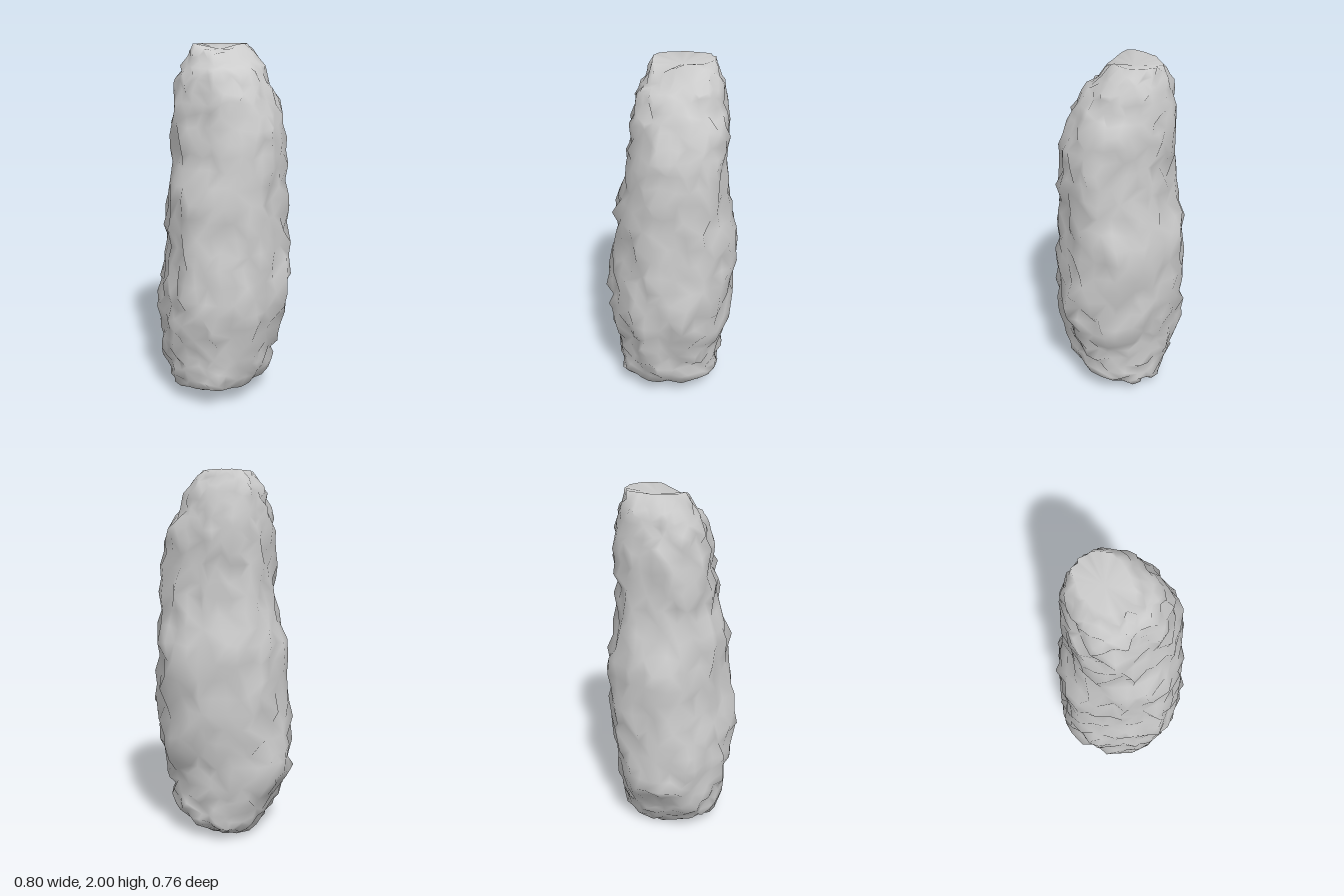
import * as THREE from 'three';

const { clamp, lerp, smoothstep } = THREE.MathUtils;

// Height, then the extents of the rock at that height: right x, left x, back z, front z
const PROFILE = [
  [0.01, -0.2, 0.07, -0.16, 0.13], [0.06, -0.24, 0.14, -0.26, 0.28],
  [0.12, -0.27, 0.24, -0.28, 0.31], [0.22, -0.33, 0.28, -0.29, 0.32],
  [0.35, -0.4, 0.3, -0.31, 0.35], [0.5, -0.4, 0.33, -0.34, 0.38],
  [0.7, -0.38, 0.35, -0.35, 0.38], [0.85, -0.37, 0.34, -0.36, 0.35],
  [1.0, -0.37, 0.34, -0.37, 0.34], [1.1, -0.36, 0.34, -0.36, 0.33],
  [1.2, -0.34, 0.33, -0.33, 0.33], [1.3, -0.3, 0.33, -0.31, 0.3],
  [1.4, -0.29, 0.33, -0.3, 0.26], [1.55, -0.29, 0.32, -0.3, 0.24],
  [1.7, -0.29, 0.28, -0.3, 0.22], [1.8, -0.27, 0.22, -0.28, 0.2],
  [1.9, -0.25, 0.17, -0.26, 0.16], [1.96, -0.21, 0.12, -0.23, 0.13],
  [2.0, -0.18, 0.06, -0.22, 0.11],
];

// Outline radius every 22.5 degrees, from +x towards +z, for the middle and for both ends
const MIDDLE = [1, 1.07, 0.99, 1, 1, 0.94, 0.89, 1.02, 1.01, 1.02, 1.03, 0.98, 1, 1.03, 1.09, 1.08];
const ENDS = [1, 1.04, 1.06, 1.05, 1, 1.06, 1.13, 1.07, 1, 1.03, 1.05, 1.03, 1, 1.04, 1.07, 1.04];

const RINGS = 33, SIDES = 32;

function seeded(seed) {
  return () => {
    seed = (seed * 1664525 + 1013904223) % 4294967296;
    return seed / 4294967296;
  };
}

function extentsAt(y) {
  let k = 0;
  while (k < PROFILE.length - 2 && PROFILE[k + 1][0] < y) k++;
  const a = PROFILE[k], b = PROFILE[k + 1];
  const t = clamp((y - a[0]) / (b[0] - a[0]), 0, 1);
  return a.map((v, i) => lerp(v, b[i], t));
}

function outlineAt(angle, y) {
  const s = (angle / (Math.PI / 8) + 16) % 16, k = Math.floor(s), n = (k + 1) % 16;
  const middle = smoothstep(y, 0.15, 0.4) - smoothstep(y, 1.1, 1.5);
  return lerp(lerp(ENDS[k], ENDS[n], s - k), lerp(MIDDLE[k], MIDDLE[n], s - k), middle);
}

// Soft local bulge (positive) or groove (negative)
function swell(angle, y, atAngle, atY, wideAngle, tall, amount) {
  const d = Math.atan2(Math.sin(angle - atAngle), Math.cos(angle - atAngle));
  return amount * Math.exp(-((d / wideAngle) ** 2) - ((y - atY) / tall) ** 2);
}

function rockGeometry() {
  const random = seeded(7);
  const positions = [], index = [];

  for (let i = 0; i < RINGS; i++) {
    // Rings gather towards both ends, where the rock rounds off
    const t = i / (RINGS - 1);
    const height = 0.01 + 1.99 * (t - 0.07 * Math.sin(2 * Math.PI * t));
    const end = i === 0 || i === RINGS - 1;
    for (let j = 0; j < SIDES; j++) {
      const angle = ((j + (random() - 0.5) * 0.7) / SIDES) * Math.PI * 2;
      let y = end ? height : height + (random() - 0.5) * 0.03;
      const [, x0, x1, z0, z1] = extentsAt(y);
      let r = outlineAt(angle, y) * (0.895 + random() * 0.13);
      r += swell(angle, y, -0.18, 0.65, 0.17, 0.16, 0.16); // left knob
      r += swell(angle, y, 1.85 + (0.85 - y) * 0.6, 0.82, 0.13, 0.2, -0.09); // front groove
      r += swell(angle, y, 1.5, 0.8, 0.16, 0.22, 0.04); // front ridge
      const x = (x0 + x1) / 2 + ((x1 - x0) / 2) * r * Math.cos(angle);
      const z = (z0 + z1) / 2 + ((z1 - z0) / 2) * r * Math.sin(angle);
      // The underside rises to the front, the top falls to the front left
      y += 0.2 * Math.max(0, z) * (1 - smoothstep(y, 0, 0.12));
      y -= 0.5 * Math.max(0, x + z) * smoothstep(y, 1.85, 2);
      positions.push(x, clamp(y, 0.005, 2), z);
    }
  }

  for (let i = 0; i < RINGS - 1; i++) {
    for (let j = 0; j < SIDES; j++) {
      const n = (j + 1) % SIDES;
      const a = i * SIDES + j, b = i * SIDES + n, c = a + SIDES, d = b + SIDES;
      // Alternate the diagonals for an irregular, chipped surface
      if (random() < 0.5) index.push(a, c, d, a, d, b);
      else index.push(a, c, b, c, d, b);
    }
  }

  // Bottom and top caps
  const bottom = RINGS * SIDES, top = bottom + 1, last = (RINGS - 1) * SIDES;
  positions.push(-0.06, 0, -0.06, -0.06, 1.97, -0.05);
  for (let j = 0; j < SIDES; j++) {
    const n = (j + 1) % SIDES;
    index.push(bottom, j, n, top, last + n, last + j);
  }

  const geometry = new THREE.BufferGeometry();
  geometry.setAttribute('position', new THREE.Float32BufferAttribute(positions, 3));
  geometry.setIndex(index);
  geometry.computeVertexNormals();
  return geometry;
}

export function createModel() {
  const group = new THREE.Group();
  group.name = 'standingStone';
  const rock = new THREE.Mesh(rockGeometry(), new THREE.MeshStandardMaterial({ color: 0xcccccc }));
  rock.name = 'rock';
  group.add(rock);
  return group;
}
